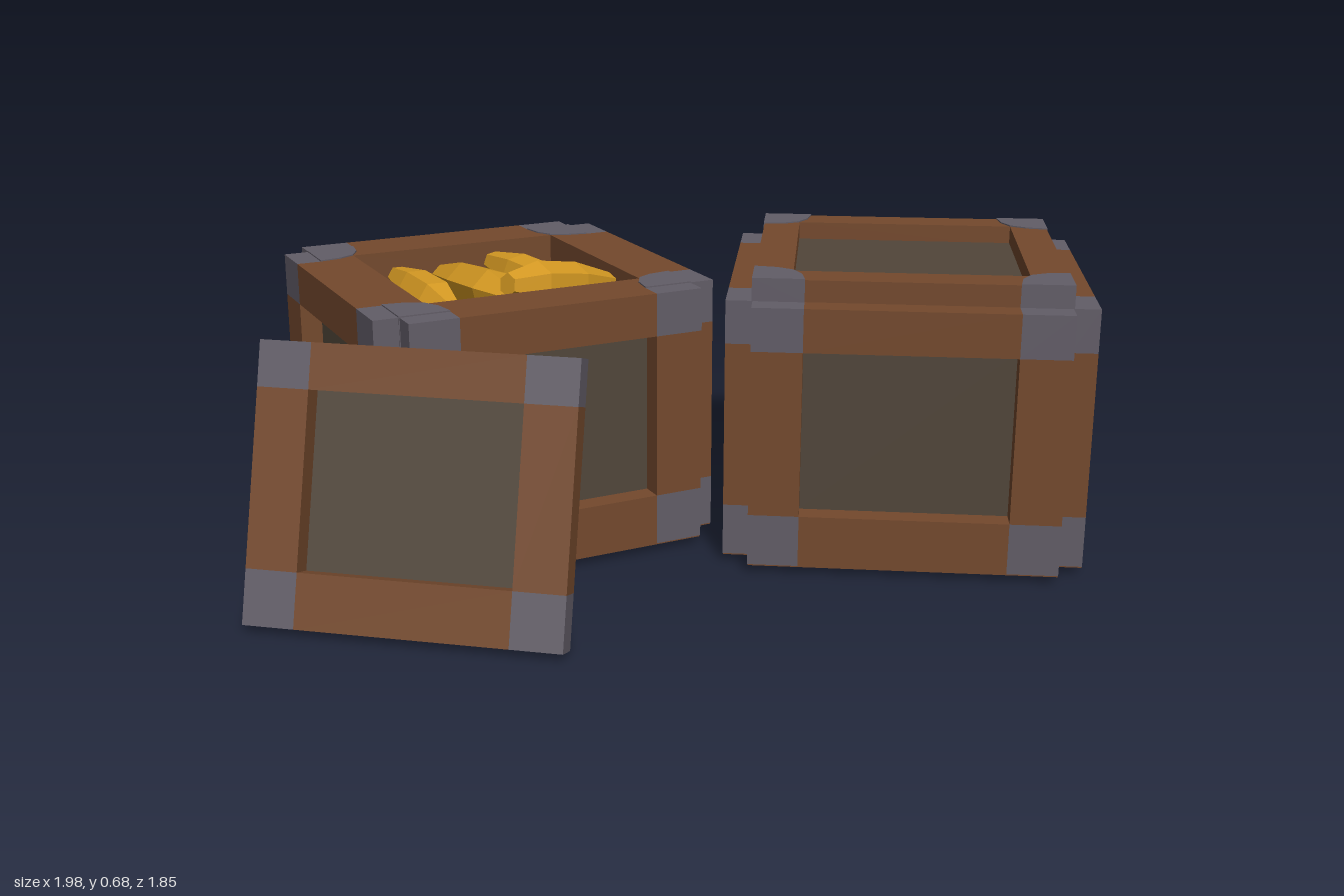
import * as THREE from 'three';

const mat = (name, color) => {
  const m = new THREE.MeshStandardMaterial({ color });
  m.name = name;
  return m;
};

export function createModel() {
  const wood = mat('wood', 0x74492d);
  const metal = mat('metal', 0x625d67);
  const board = mat('dark board', 0x51463a);
  const gold = mat('gold', 0xd39822);
  const goldFill = mat('gold fill', 0x8c6f2a);

  const W = 0.70, H = 0.605, T = 0.06, BASE = 0.025, TOP = BASE + H;
  const HOLE = 0.2625;

  const add = (parent, name, geo, material, x = 0, y = 0, z = 0) => {
    const m = new THREE.Mesh(geo, material);
    m.name = name;
    m.position.set(x, y, z);
    parent.add(m);
    return m;
  };
  const box = (parent, name, material, w, h, d, x, y, z) =>
    add(parent, name, new THREE.BoxGeometry(w, h, d), material, x, y, z);

  // Framed panel: metal corner blocks, wooden rails, sunken board; back at z = 0
  function sidePanel(name) {
    const g = new THREE.Group();
    g.name = name;
    const bx = 0.115, bottom = 0.12, top = 0.10;
    const openW = W - 2 * bx, openH = H - bottom - top;
    const midY = (bottom - top) / 2, xs = (W - bx) / 2;
    for (const s of [-1, 1]) {
      const b = s < 0 ? bottom : top;
      const y = s * (H - b) / 2;
      box(g, 'horizontalRail', wood, openW, b, T, 0, y, T / 2);
      box(g, 'verticalRail', wood, bx, openH, T, s * xs, midY, T / 2);
      for (const t of [-1, 1]) box(g, 'cornerBlock', metal, bx, b, T, t * xs, y, T / 2);
    }
    box(g, 'sunkenBoard', board, openW, openH, 0.008, 0, midY, 0.004);
    return g;
  }

  // Square horizontal frame with curved metal corner caps
  function topFrame(parent, y, height) {
    const a = W / 2, h = HOLE;
    const s = new THREE.Shape([[-a, -a], [a, -a], [a, a], [-a, a]].map(p => new THREE.Vector2(...p)));
    s.holes.push(new THREE.Path([[-h, -h], [-h, h], [h, h], [h, -h]].map(p => new THREE.Vector2(...p))));
    const frame = new THREE.ExtrudeGeometry(s, { depth: height, bevelEnabled: false });
    add(parent, 'topFrame', frame.rotateX(-Math.PI / 2), wood, 0, y, 0);

    const e = a + 0.002;
    const cap = new THREE.Shape([[e, e - 0.117], [e, e], [e - 0.117, e],
      [0.243, 0.30], [h, h + 0.001], [0.30, 0.243]].map(p => new THREE.Vector2(...p)));
    const capGeo = new THREE.ExtrudeGeometry(cap, { depth: height + 0.003, bevelEnabled: false });
    capGeo.rotateX(-Math.PI / 2);
    for (let k = 0; k < 4; k++) add(parent, 'cornerCap', capGeo, metal, 0, y, 0).rotation.y = k * Math.PI / 2;
  }

  // Crate body with four applied side panels
  function crate(name, x, z, angle, coreTop) {
    const g = new THREE.Group();
    g.name = name;
    box(g, 'core', wood, W, coreTop - BASE, W, 0, (coreTop + BASE) / 2, 0);
    for (let k = 0; k < 4; k++) {
      const pivot = new THREE.Group();
      pivot.name = 'side';
      pivot.rotation.y = k * Math.PI / 2;
      const p = sidePanel('sidePanel');
      p.position.set(0, BASE + H / 2, W / 2);
      pivot.add(p);
      g.add(pivot);
    }
    const full = W + 2 * T - 0.002;
    box(g, 'underside', wood, full, 0.004, W - 0.002, 0, BASE - 0.001, 0);
    box(g, 'underside', wood, W - 0.002, 0.004, full, 0, BASE - 0.001, 0);
    g.position.set(x, 0, z);
    g.rotation.y = THREE.MathUtils.degToRad(angle);
    return g;
  }

  // Faceted gold nugget stretched between two points
  function nugget(parent, a, b, r, spin) {
    const A = new THREE.Vector3(...a), B = new THREE.Vector3(...b);
    const L = A.distanceTo(B);
    const profile = [[0, -0.5 * L], [0.5 * r, -0.5 * L], [r, -0.22 * L],
      [0.95 * r, 0.15 * L], [0.5 * r, 0.5 * L], [0, 0.5 * L]].map(p => new THREE.Vector2(...p));
    const geo = new THREE.LatheGeometry(profile, 6).toNonIndexed();
    geo.rotateY(spin);
    geo.computeVertexNormals();
    const m = add(parent, 'goldNugget', geo, gold);
    m.position.copy(A).add(B).multiplyScalar(0.5);
    m.quaternion.setFromUnitVectors(new THREE.Vector3(0, 1, 0), B.sub(A).normalize());
  }

  const model = new THREE.Group();
  model.name = 'crates';

  // Closed crate with lid
  const closed = crate('closedCrate', 0.455, 0.39, 31.5, TOP);
  topFrame(closed, TOP, 0.05);
  box(closed, 'lidBoard', board, HOLE * 2, 0.008, HOLE * 2, 0, TOP + 0.004, 0);
  model.add(closed);

  // Open crate filled with gold
  const floorY = 0.54;
  const open = crate('openCrate', -0.133, -0.405, -26.2, floorY);
  topFrame(open, floorY, TOP - floorY);
  box(open, 'goldBed', goldFill, HOLE * 2, 0.008, HOLE * 2, 0, floorY + 0.004, 0);
  model.add(open);

  const pile = new THREE.Group();
  pile.name = 'goldPile';
  nugget(pile, [-0.33, 0.57, -0.35], [-0.22, 0.59, -0.64], 0.05, 0.2);
  nugget(pile, [-0.25, 0.60, -0.23], [-0.125, 0.58, -0.58], 0.058, 0.5);
  nugget(pile, [-0.055, 0.57, -0.23], [0.035, 0.59, -0.56], 0.052, 0.1);
  nugget(pile, [-0.29, 0.645, -0.215], [0.03, 0.59, -0.18], 0.055, 0.3);
  nugget(pile, [-0.27, 0.565, -0.20], [-0.02, 0.56, -0.145], 0.04, 0.4);
  model.add(pile);

  // Loose panel leaning beside the open crate
  const leaning = new THREE.Group();
  leaning.name = 'leaningPanel';
  const loose = sidePanel('loosePanel');
  loose.position.z = -T / 2;
  leaning.add(loose);
  leaning.position.set(-0.73, 0.302, -0.095);
  leaning.rotation.set(THREE.MathUtils.degToRad(-18), THREE.MathUtils.degToRad(-64.5), 0, 'YXZ');
  model.add(leaning);

  return model;
}
